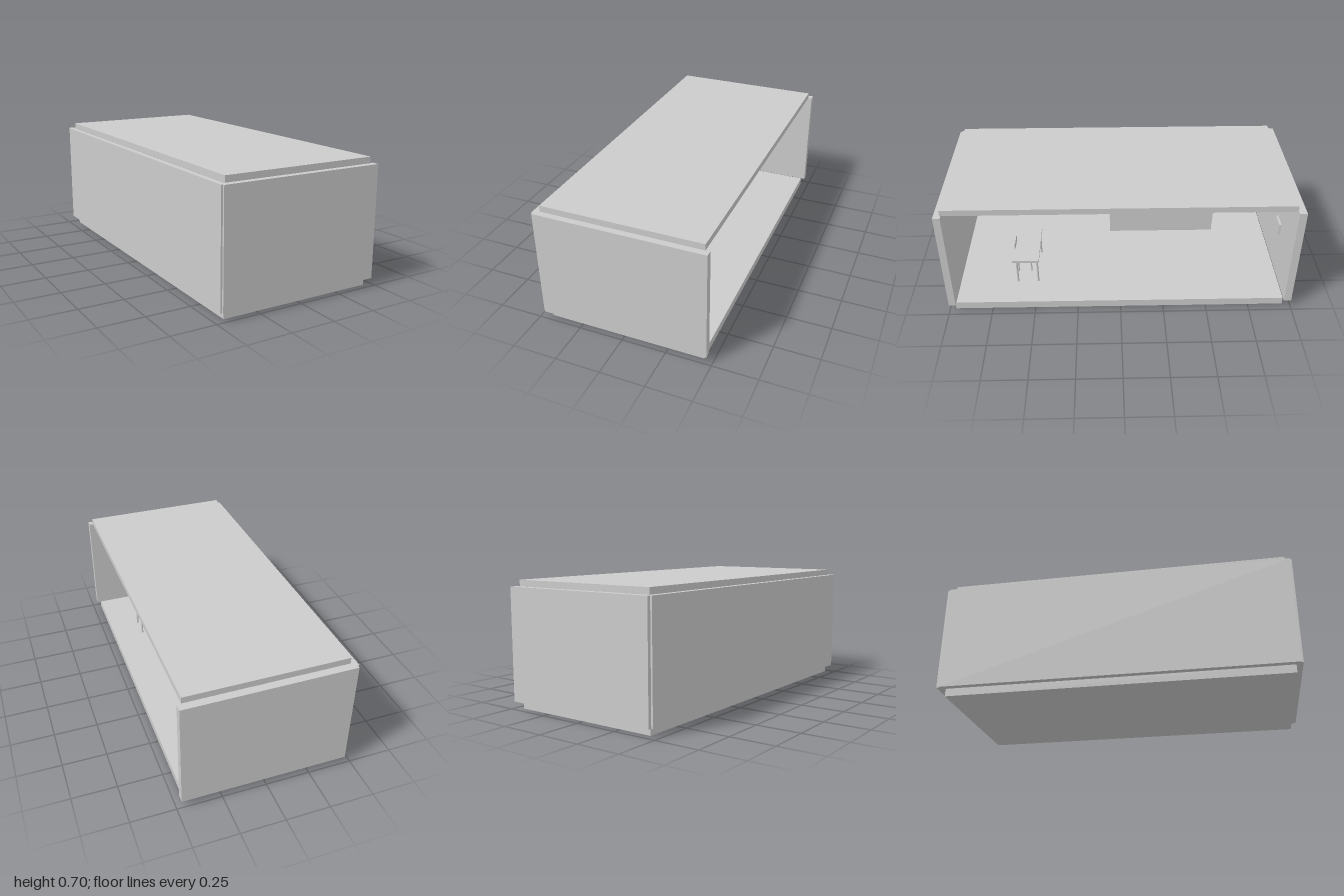
import * as THREE from 'three';

const grey = new THREE.MeshStandardMaterial({ color: 0xcccccc });

export function createModel() {
  const model = new THREE.Group();
  model.name = 'kitchenRoom';

  const group = (name) => {
    const g = new THREE.Group();
    g.name = name;
    model.add(g);
    return g;
  };
  const add = (parent, name, geometry, x = 0, y = 0, z = 0) => {
    const mesh = new THREE.Mesh(geometry, grey);
    mesh.name = name;
    mesh.position.set(x, y, z);
    parent.add(mesh);
    return mesh;
  };
  // Box given by its limits on each axis
  const box = (parent, name, [x0, x1], [y0, y1], [z0, z1]) =>
    add(parent, name, new THREE.BoxGeometry(x1 - x0, y1 - y0, z1 - z0),
      (x0 + x1) / 2, (y0 + y1) / 2, (z0 + z1) / 2);

  // Shell: slabs and three walls, open on +x
  const FLOOR = 0.045, CEILING = 0.67;
  const shell = group('shell');
  box(shell, 'floor', [-0.44, 0.45], [0, FLOOR], [-0.955, 0.965]);
  box(shell, 'roof', [-0.44, 0.45], [CEILING, 0.705], [-0.955, 0.965]);
  box(shell, 'frontWall', [-0.465, 0.473], [FLOOR, CEILING], [0.96, 1]);
  box(shell, 'backWall', [-0.465, 0.473], [FLOOR, CEILING], [-1, -0.957]);
  box(shell, 'sideWall', [-0.475, -0.442], [FLOOR, CEILING], [-0.98, 0.99]);

  // Kitchen counter along the side wall
  const counter = group('counter');
  box(counter, 'cabinet', [-0.442, -0.222], [FLOOR, 0.245], [-0.617, 0.055]);
  box(counter, 'worktop', [-0.442, -0.212], [0.245, 0.256], [-0.627, 0.063]);
  for (const z of [-0.057, -0.283, -0.517]) {
    box(counter, 'drawerFront', [-0.222, -0.217], [0.113, 0.225], [z - 0.102, z + 0.102]);
  }
  for (const z of [-0.057, -0.283]) {
    box(counter, 'drawerHandle', [-0.217, -0.21], [0.196, 0.201], [z - 0.026, z + 0.026]);
  }

  // Cooking pot with lid, knob and two side handles
  const pot = group('pot');
  pot.position.set(-0.33, 0.256, -0.33);
  add(pot, 'potBody', new THREE.CylinderGeometry(0.039, 0.039, 0.042, 32), 0, 0.021);
  add(pot, 'potLid', new THREE.CylinderGeometry(0.036, 0.041, 0.006, 32), 0, 0.045);
  add(pot, 'lidKnob', new THREE.CylinderGeometry(0.007, 0.005, 0.012, 16), 0, 0.054);
  for (const s of [-1, 1]) {
    box(pot, 'potHandle', [-0.012, 0.012], [0.028, 0.033], s > 0 ? [0.035, 0.06] : [-0.06, -0.035]);
  }

  // Low dish on the worktop
  const dishProfile = [[0, 0], [0.017, 0], [0.023, 0.022], [0.02, 0.022], [0.015, 0.004], [0, 0.004]];
  add(model, 'dish', new THREE.LatheGeometry(dishProfile.map(([r, y]) => new THREE.Vector2(r, y)), 24),
    -0.33, 0.256, -0.103);

  // Dining table with round legs
  const table = group('table');
  box(table, 'tableTop', [-0.03, 0.287], [0.203, 0.218], [0.481, 0.637]);
  for (const x of [-0.01, 0.266]) {
    for (const z of [0.494, 0.615]) {
      add(table, 'tableLeg', new THREE.CylinderGeometry(0.006, 0.006, 0.158, 16), x, 0.124, z);
    }
  }

  // Chair tucked under the table
  const chair = group('chair');
  box(chair, 'seat', [0.08, 0.175], [0.136, 0.144], [0.53, 0.632]);
  box(chair, 'backrest', [0.08, 0.175], [0.16, 0.256], [0.627, 0.633]);
  for (const x of [0.086, 0.169]) {
    box(chair, 'backPost', [x - 0.004, x + 0.004], [0.14, 0.2], [0.624, 0.63]);
    for (const z of [0.542, 0.62]) {
      add(chair, 'chairLeg', new THREE.CylinderGeometry(0.005, 0.005, 0.093, 12), x, 0.0915, z);
    }
  }

  // Panels hung on the back wall
  const panels = group('wallPanels');
  box(panels, 'smallPanel', [0.093, 0.188], [0.315, 0.386], [-0.957, -0.945]);
  box(panels, 'upperPanel', [-0.08, 0.015], [0.36, 0.455], [-0.957, -0.945]);

  return model;
}
